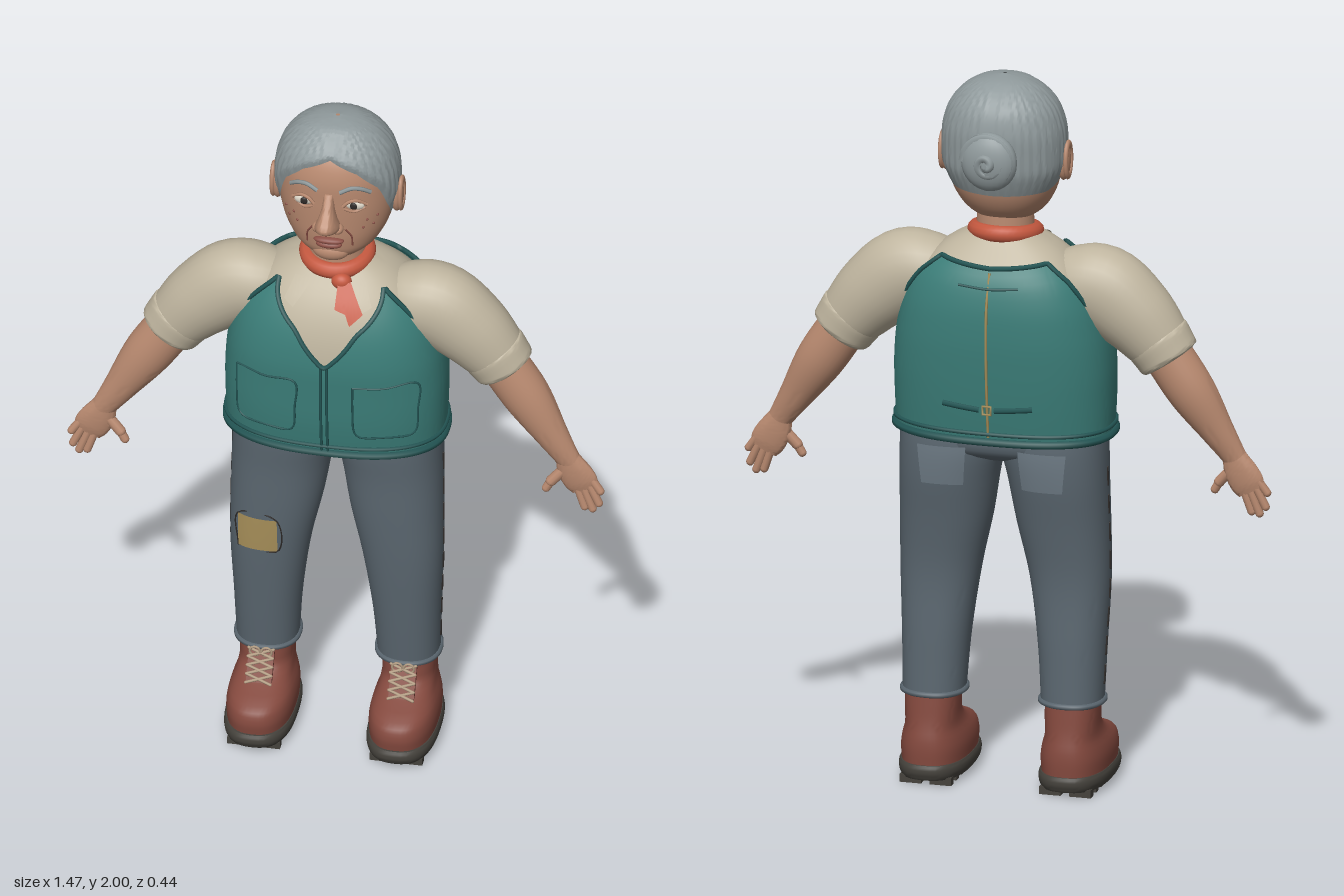
import * as THREE from 'three';
import { mergeVertices, toCreasedNormals } from 'three/addons/utils/BufferGeometryUtils.js';

const mats = {};
for (const [k, c] of Object.entries({
  skin: 0xb98a70, lips: 0x8a4f45, hair: 0x8f999b, dark: 0x2e2a28, white: 0xd8d2c4, shirt: 0xbfb59f, vest: 0x3b7d78,
  trim: 0x235554, scarf: 0xc4583f, jeans: 0x5b6770, denim: 0x6d7a84, patch: 0xa8905a, boot: 0x84493e, sole: 0x45423c, lace: 0xb09a80,
})) mats[k] = new THREE.MeshStandardMaterial({ color: c, side: THREE.DoubleSide });

const V = (x, y, z) => new THREE.Vector3(x, y, z);

// Interpolates a short [key, value] table linearly
function table(t, rows) {
  let i = 0;
  while (i < rows.length - 2 && t > rows[i + 1][0]) i++;
  const [a, b] = [rows[i], rows[i + 1]];
  return THREE.MathUtils.lerp(a[1], b[1], (t - a[0]) / (b[0] - a[0]));
}

// Skins a grid of points fn(u, v); caps close both ends
function surface(fn, nu, nv, caps = false) {
  const rings = [];
  for (let j = 0; j <= nv; j++) rings.push(Array.from({ length: nu + 1 }, (_, i) => fn(i / nu, j / nv)));
  if (caps) {
    const centre = r => {
      const c = V(0, 0, 0);
      for (let i = 0; i < nu; i++) c.addScaledVector(r[i], 1 / nu);
      return r.map(() => c);
    };
    rings.unshift(centre(rings[0]));
    rings.push(centre(rings.at(-1)));
  }
  const index = [], w = nu + 1;
  for (let j = 0; j < rings.length - 1; j++) for (let i = 0; i < nu; i++) {
    const a = j * w + i;
    index.push(a, a + 1, a + w + 1, a, a + w + 1, a + w);
  }
  const g = new THREE.BufferGeometry().setFromPoints(rings.flat());
  g.setIndex(index);
  return toCreasedNormals(mergeVertices(g), 0.9);
}

// Upright body from rows [y, halfWidth, zFront, zBack, centreX]; angle 0 faces the front
function body(rows, n = 2.4, cx = 0) {
  const curve = new THREE.CubicInterpolant(rows.map(r => r[0]), rows.flatMap(r => [r[1], r[2], r[3], (r[4] ?? 0) + cx]), 4);
  const pw = t => Math.sign(t) * Math.abs(t) ** (2 / n);
  const at = (a, y, off = 0) => {
    const [hx, zf, zb, x] = curve.evaluate(y);
    return V(x + pw(Math.sin(a)) * (hx + off), y, (zf + zb) / 2 + pw(Math.cos(a)) * ((zf - zb) / 2 + off));
  };
  const onX = (x, y, off = 0, back = false) => {
    const [hx, , , c] = curve.evaluate(y);
    const k = (x - c) / hx, a = Math.sign(k) * Math.asin(Math.min(1, Math.abs(k)) ** (n / 2));
    return at(back ? Math.PI - a : a, y, off);
  };
  const [lo, hi] = [rows[0][0], rows.at(-1)[0]];
  const skin = (nv = 32) => surface((u, v) => at(u * 2 * Math.PI, lo + (hi - lo) * (1 - Math.cos(Math.PI * v)) / 2), 48, nv, true);
  return { at, onX, skin };
}

// Limb bending in the xy plane from rows [x, y, z, radius, depthRadius]
function limb(rows, s) {
  const c = new THREE.CubicInterpolant(rows.map((_, i) => i), rows.flatMap(r => [r[0] * s, ...r.slice(1)]), 5);
  const m = rows.length - 1;
  return surface((u, v) => {
    const [x0, y0] = c.evaluate(Math.max(0, v * m - 0.02)), [x1, y1] = c.evaluate(Math.min(m, v * m + 0.02));
    const T = V(x1 - x0, y1 - y0, 0).normalize(), a = u * 2 * Math.PI;
    const [x, y, z, r, d] = c.evaluate(v * m);
    return V(x - T.y * r * Math.cos(a), y + T.x * r * Math.cos(a), z + d * Math.sin(a));
  }, 28, 24, true);
}

const tube = (pts, r, closed = false, n = pts.length * 6) =>
  new THREE.TubeGeometry(new THREE.CatmullRomCurve3(pts, closed, 'centripetal'), n, r, 6, closed);

function rod(a, b, r) {
  const d = b.clone().sub(a), g = new THREE.CapsuleGeometry(r, d.length(), 4, 10);
  g.applyQuaternion(new THREE.Quaternion().setFromUnitVectors(V(0, 1, 0), d.normalize()));
  return g.translate((a.x + b.x) / 2, (a.y + b.y) / 2, (a.z + b.z) / 2);
}

const blob = (x, y, z, rx, ry, rz) => new THREE.SphereGeometry(1, 24, 16).scale(rx, ry, rz).translate(x, y, z);

// Cloth panel lying on a body; corners run bottom-left, bottom-right, top-right, top-left
const panel = (b, [p, q, r, t], off, back = false) => surface((u, v) => {
  const mix = i => (p[i] * (1 - u) + q[i] * u) * (1 - v) + (t[i] * (1 - u) + r[i] * u) * v;
  return b.onX(mix(0), mix(1), off, back);
}, 10, 8);

const rect = (x0, x1, y0, y1) => [[x0, y0], [x1, y0], [x1, y1], [x0, y1]];

export function createModel() {
  const model = new THREE.Group();
  const add = (name, geo, mat) => {
    const m = new THREE.Mesh(geo, mats[mat]);
    m.name = name;
    model.add(m);
    return m;
  };
  const line = (name, b, pts, r, mat, off = 0.008, back = false) =>
    add(name, tube(pts.map(p => b.onX(p[0], p[1], off, back)), r), mat);
  const circle = n => Array.from({ length: n }, (_, i) => (i / n) * 2 * Math.PI);

  // Shirt body and neck
  const torsoRows = [[1, .287, .168, -.16], [1.1, .291, .182, -.173], [1.2, .291, .187, -.182], [1.3, .281, .188, -.186],
    [1.4, .255, .168, -.178], [1.47, .215, .135, -.155], [1.53, .15, .09, -.105], [1.57, .075, .06, -.07]];
  const torso = body(torsoRows, 2.5);
  add('shirtBody', torso.skin(), 'shirt');
  add('neck', new THREE.CylinderGeometry(.075, .082, .16, 32).translate(0, 1.57, 0), 'skin');

  // Vest with V neck and armholes
  const rim = a => table(Math.abs(a), [[0, 1.3], [.235, 1.4], [.5, 1.455], [.78, 1.51], [1, 1.44], [1.3, 1.34],
    [1.57, 1.3], [1.85, 1.34], [2.15, 1.46], [2.35, 1.505], [3.15, 1.49]]);
  add('vest', surface((u, v) => {
    const a = (u * 2 - 1) * Math.PI;
    return torso.at(a, THREE.MathUtils.lerp(1, rim(a), v), .01);
  }, 144, 24), 'vest');
  const angles = circle(120).map(a => a - Math.PI);
  add('vestEdging', tube(angles.map(a => torso.at(a, rim(a), .011)), .007, true, 240), 'trim');
  for (const [y, r] of [[1.006, .011], [1.03, .006]])
    add('vestHem', tube(circle(48).map(a => torso.at(a, y, .012)), r, true), 'trim');
  for (const x of [-.008, .008]) line('vestPlacket', torso, [[x, 1], [x, 1.1], [x, 1.2], [x, 1.3]], .004, 'trim', .012);
  for (const s of [-1, 1]) {
    add('vestPocket', panel(torso, rect(s * .155 - .08, s * .155 + .08, 1.08, 1.245), .016), 'vest');
    const [l, r] = [s * .155 - .08, s * .155 + .08];
    line('pocketEdge', torso, [[l, 1.245], [l, 1.16], [l + .005, 1.09], [l + .02, 1.077], [s * .155, 1.077], [r - .02, 1.077],
      [r - .005, 1.09], [r, 1.16], [r, 1.245], [s * .155, 1.245], [l, 1.245]], .003, 'trim', .016);
    line('backStrap', torso, [[s * .02, 1.1], [s * .07, 1.105], [s * .12, 1.11]], .008, 'trim', .012, true);
    add('collarPoint', panel(torso, [[s * .085, 1.46], [s * .11, 1.475], [s * .085, 1.53], [s * .04, 1.53]], .02), 'shirt');
  }
  line('backSeam', torso, [[0, 1.02], [0, 1.15], [0, 1.3], [0, 1.4], [0, 1.48]], .004, 'patch', .01, true);
  line('backYoke', torso, [[-.08, 1.445], [0, 1.44], [.08, 1.445]], .004, 'trim', .01, true);
  add('backBuckle', new THREE.TorusGeometry(.016, .004, 6, 4).rotateZ(Math.PI / 4).translate(0, 1.1, -.188), 'patch');

  // Neckerchief
  add('neckerchief', new THREE.TorusGeometry(.08, .024, 12, 40).rotateX(Math.PI / 2 + .14).translate(0, 1.555, .003), 'scarf');
  add('neckerchiefKnot', blob(.03, 1.525, .1, .028, .024, .022), 'scarf');
  add('neckerchiefTail', panel(torso, [[.06, 1.43], [.09, 1.46], [.05, 1.53], [.02, 1.52]], .022), 'scarf');
  add('neckerchiefTail', panel(torso, [[.02, 1.47], [.05, 1.46], [.045, 1.53], [.02, 1.53]], .026), 'scarf');

  // Trousers hips
  const hips = body([[.925, .19, .07, -.08], [.95, .27, .12, -.13], [.98, .284, .132, -.145], [1.04, .28, .13, -.14]], 2.4);
  add('trouserHips', hips.skin(12), 'jeans');

  for (const s of [-1, 1]) {
    const side = s > 0 ? 'left' : 'right';

    // Arm: sleeve, rolled cuff, forearm, hand
    add(side + 'Sleeve', limb([[.13, 1.43, 0, .07, .07], [.2, 1.425, 0, .104, .098], [.28, 1.41, 0, .12, .102],
      [.36, 1.35, 0, .11, .096], [.42, 1.285, 0, .094, .084], [.45, 1.24, 0, .08, .074]], s), 'shirt');
    add(side + 'Cuff', limb([[.418, 1.292, 0, .084, .074], [.424, 1.283, 0, .093, .083], [.445, 1.252, 0, .09, .08],
      [.456, 1.234, 0, .087, .077], [.46, 1.228, 0, .076, .068]], s), 'shirt');
    add(side + 'Forearm', limb([[.44, 1.26, 0, .068, .06], [.52, 1.14, .004, .066, .058], [.59, 1.03, .014, .046, .038],
      [.635, .96, .02, .034, .023], [.645, .94, .02, .036, .02]], s), 'skin');
    add(side + 'Palm', limb([[.632, .966, .02, .033, .022], [.65, .925, .02, .046, .021], [.67, .89, .02, .048, .017],
      [.682, .868, .02, .04, .011]], s), 'skin');
    for (const [x0, y0, x1, y1] of [[.7, .9, .724, .866], [.692, .885, .72, .826], [.676, .876, .703, .806], [.66, .872, .681, .81]])
      add(side + 'Finger', rod(V(x0 * s, y0, .02), V(x1 * s, y1, .024), .0115), 'skin');
    add(side + 'Thumb', rod(V(.625 * s, .925, .022), V(.59 * s, .885, .028), .015), 'skin');
    add(side + 'ThumbTip', rod(V(.59 * s, .885, .028), V(.577 * s, .862, .03), .012), 'skin');

    // Leg with seam, hem and back pocket
    const leg = body([[.245, .084, .07, -.105, s * .193], [.4, .092, .088, -.1, s * .19], [.6, .11, .108, -.095, s * .18],
      [.75, .126, .117, -.115, s * .163], [.88, .136, .122, -.138, s * .151], [.97, .145, .13, -.145, s * .14],
      [1.03, .142, .13, -.14, s * .14]], 2.3);
    add(side + 'TrouserLeg', leg.skin(), 'jeans');
    add(side + 'TrouserHem', tube(circle(32).map(a => leg.at(a, .252)), .008, true), 'jeans');
    for (let y = .3; y < .92; y += .08)
      add('sideStitch', rod(leg.at(s * Math.PI / 2, y, .001), leg.at(s * Math.PI / 2, y + .05, .001), .003), 'dark');
    add(side + 'BackPocket', panel(leg, [[s * .14 - .055, .865], [s * .14 + .055, .865], [s * .14 + .065, .975],
      [s * .14 - .065, .975]], .006, true), 'denim');
    if (s < 0) {
      add('kneePatch', panel(leg, rect(-.25, -.145, .605, .712), .006), 'patch');
      line('patchEdge', leg, [[-.25, .605], [-.145, .605], [-.145, .712], [-.25, .712], [-.25, .605]], .002, 'dark', .006);
    }

    // Boot with sole, lugs, tongue and laces
    const cx = s * .195;
    add(side + 'Boot', body([[.05, .09, .208, -.122], [.1, .092, .21, -.123], [.13, .086, .192, -.12], [.152, .077, .135, -.115],
      [.178, .073, .078, -.11], [.22, .073, .062, -.105], [.265, .073, .06, -.1]], 2.5, cx).skin(28), 'boot');
    add(side + 'Sole', body([[.016, .09, .21, -.122], [.026, .095, .218, -.128], [.05, .096, .219, -.13], [.058, .092, .214, -.126]],
      2.6, cx).skin(8), 'sole');
    for (let i = 0; i < 6; i++) for (const k of [-1, 1])
      add('soleLug', new THREE.BoxGeometry(.06, .022, .026).translate(cx + k * .042, .011, -.09 + i * .052), 'sole');
    add(side + 'Tongue', new THREE.BoxGeometry(.07, .1, .012).rotateX(-.5).translate(cx, .2, .085), 'boot');
    for (let i = 0; i < 4; i++) for (const k of [-1, 1]) {
      const p = (dx, j) => V(cx + dx * .034, .165 + j * .021, .122 - j * .0115);
      add('lace', rod(p(-k, i), p(k, i + 1), .004), 'lace');
    }
    for (const k of [-1, 1])
      add('laceLoop', new THREE.TorusGeometry(.014, .0035, 6, 14).translate(cx + k * .016, .243, .082), 'lace');
  }

  // Head
  const head = body([[1.583, .02, .05, -.03], [1.595, .06, .088, -.05], [1.62, .1, .112, -.085], [1.66, .13, .122, -.115],
    [1.72, .152, .127, -.135], [1.8, .16, .13, -.143], [1.87, .153, .127, -.142], [1.93, .125, .102, -.12],
    [1.97, .078, .06, -.078], [1.985, .04, .03, -.045], [1.99, .005, .0, -.01]], 2.1);
  add('head', head.skin(40), 'skin');
  add('nose', body([[1.7, .008, .125, .1], [1.715, .028, .15, .1], [1.738, .034, .195, .1], [1.752, .028, .204, .1],
    [1.785, .018, .17, .1], [1.83, .013, .135, .1]], 2).skin(20), 'skin');
  add('upperLip', blob(0, 1.675, .124, .042, .01, .016), 'lips');
  add('lowerLip', blob(0, 1.66, .122, .036, .011, .016), 'lips');
  add('chin', blob(0, 1.622, .094, .05, .03, .028), 'skin');
  for (const s of [-1, 1]) {
    add('nostril', blob(s * .027, 1.726, .138, .016, .014, .02), 'skin');
    const e = head.onX(s * .068, 1.797);
    add('eye', blob(e.x, e.y, e.z - .002, .028, .015, .011), 'white');
    add('iris', blob(e.x, e.y, e.z + .006, .011, .011, .005), 'dark');
    line('upperLid', head, [[s * .038, 1.797], [s * .052, 1.811], [s * .072, 1.815], [s * .098, 1.797]], .005, 'skin', .006);
    line('eyeBag', head, [[s * .042, 1.786], [s * .068, 1.776], [s * .095, 1.785]], .004, 'skin', .002);
    line('eyebrow', head, [[s * .03, 1.84], [s * .06, 1.853], [s * .085, 1.848], [s * .108, 1.832]], .006, 'hair', .002);
    line('smileLine', head, [[s * .045, 1.715], [s * .06, 1.69], [s * .062, 1.655]], .0025, 'lips', 0);
    add('ear', blob(s * .163, 1.765, 0, .018, .055, .03), 'skin');
    add('earRim', new THREE.TorusGeometry(.026, .007, 8, 24).scale(1, 1.7, 1).rotateY(Math.PI / 2).translate(s * .175, 1.768, 0), 'skin');
  }
  for (const [x, y] of [[.1, 1.74], [.115, 1.72], [.09, 1.715], [.125, 1.745]]) for (const s of [-1, 1])
    add('freckle', new THREE.SphereGeometry(.004, 8, 6).translate(...head.onX(s * x, y)), 'lips');

  // Combed hair with a coiled bun
  add('hair', surface((u, v) => {
    const a = (u * 2 - 1) * Math.PI;
    const low = table(Math.abs(a), [[0, 1.925], [.5, 1.89], [.9, 1.835], [1.15, 1.765], [1.4, 1.715], [2, 1.692], [3.15, 1.688]]);
    const off = Math.min(1, v * 8) * (.009 + .003 * Math.abs(Math.cos(a * 20)));
    const p = head.at(a, THREE.MathUtils.lerp(low, 1.99, Math.sin(v * Math.PI / 2)), off * Math.min(1, (1 - v) * 4));
    p.y += .01 * v;
    return p;
  }, 240, 36), 'hair');
  add('bun', blob(0, 1.797, -.163, .078, .082, .04), 'hair');
  const coil = Array.from({ length: 50 }, (_, i) => {
    const t = i / 49, r = .07 * (1 - t), a = t * 6 * Math.PI;
    return V(r * Math.cos(a), 1.797 + r * Math.sin(a) * 1.05, -.168 - .034 * t);
  });
  add('bunCoil', tube(coil, .014, false, 160), 'hair');
  return model;
}
